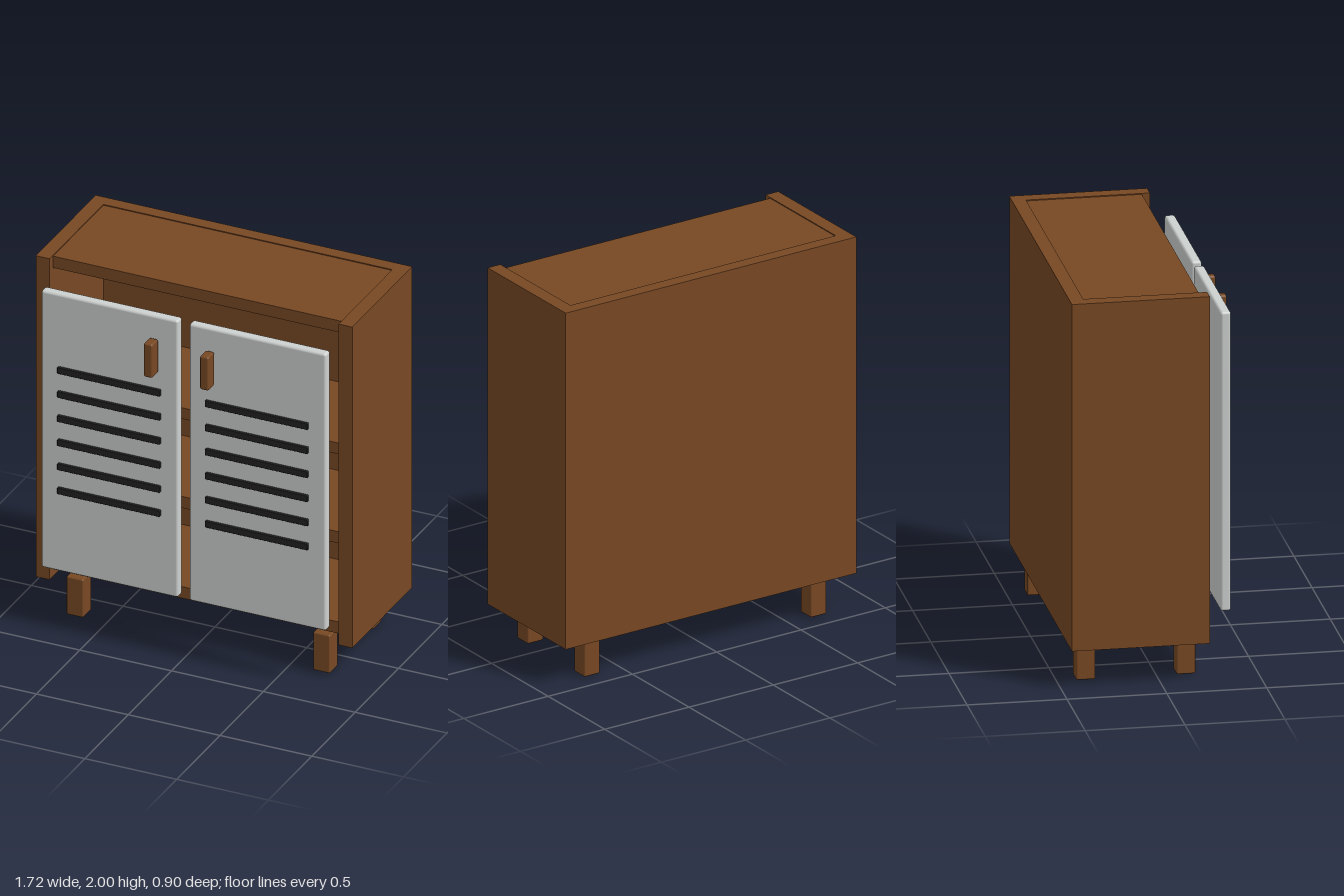
import * as THREE from 'three';
import { RoundedBoxGeometry } from 'three/addons/geometries/RoundedBoxGeometry.js';

const mat = (name, color) => {
  const m = new THREE.MeshStandardMaterial({ color });
  m.name = name;
  return m;
};

export function createModel() {
  const wood = mat('walnut wood', 0x784823);
  const paint = mat('pale grey paint', 0xcdd1cf);
  const black = mat('black slat', 0x222222);
  const model = new THREE.Group();
  model.name = 'cabinet';

  // Box between two corners, with optionally rounded edges
  const box = (name, material, [x0, x1], [y0, y1], [z0, z1], radius = 0, parent = model) => {
    const size = [x1 - x0, y1 - y0, z1 - z0];
    const geometry = radius
      ? new RoundedBoxGeometry(...size, 2, radius)
      : new THREE.BoxGeometry(...size);
    const mesh = new THREE.Mesh(geometry, material);
    mesh.position.set((x0 + x1) / 2, (y0 + y1) / 2, (z0 + z1) / 2);
    mesh.name = name;
    parent.add(mesh);
  };

  // Carcass, with the horizontal boards set back from the side panels
  const inner = [-0.787, 0.787];
  box('backPanel', wood, inner, [0.2, 2], [-0.45, -0.38]);
  box('topPanel', wood, inner, [1.93, 1.995], [-0.38, 0.2]);
  box('bottomPanel', wood, inner, [0.24, 0.305], [-0.38, 0.2]);
  box('upperShelf', wood, inner, [1.24, 1.302], [-0.38, 0.19]);
  box('lowerShelf', wood, inner, [0.74, 0.805], [-0.38, 0.19]);

  for (const [side, s] of [['left', 1], ['right', -1]]) {
    const span = (a, b) => (s > 0 ? [a, b] : [-b, -a]);
    box(side + 'SidePanel', wood, span(0.787, 0.862), [0.2, 2], [-0.45, 0.24]);

    // Legs
    box(side + 'FrontLeg', wood, span(0.625, 0.718), [0, 0.213], [0.1, 0.195], 0.008);
    box(side + 'BackLeg', wood, span(0.625, 0.718), [0, 0.213], [-0.402, -0.307], 0.008);

    // Door with slats and handle, standing off the carcass
    const door = new THREE.Group();
    door.name = side + 'Door';
    model.add(door);
    box('doorPanel', paint, span(0.03, 0.776), [0.333, 1.886], [0.31, 0.363], 0.014, door);
    for (let i = 0; i < 6; i++) {
      const y = 0.79 + i * 0.135;
      box('slat', black, span(0.123, 0.682), [y - 0.018, y + 0.018], [0.358, 0.378], 0.004, door);
    }
    box('handle', wood, span(0.129, 0.177), [1.583, 1.771], [0.378, 0.45], 0.01, door);
  }
  return model;
}
